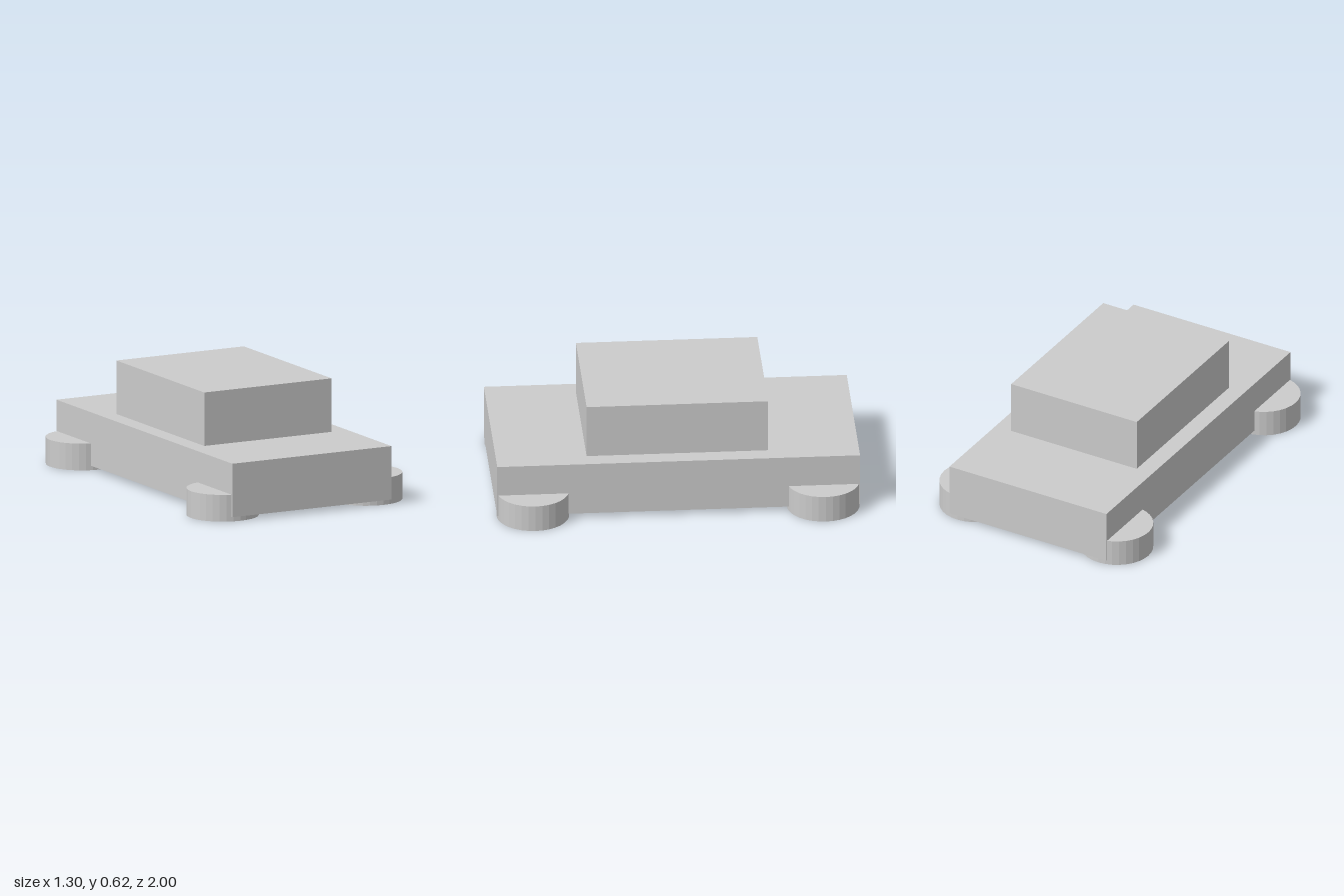
import * as THREE from 'three';

export function createModel() {
  const model = new THREE.Group();
  const material = new THREE.MeshStandardMaterial({ color: 0xcccccc, flatShading: true });

  const add = (name, geometry, x, y, z) => {
    const mesh = new THREE.Mesh(geometry, material);
    mesh.name = name;
    mesh.position.set(x, y, z);
    model.add(mesh);
  };

  // Long low body with a cabin block on top
  add('body', new THREE.BoxGeometry(1, 0.3, 2), 0, 0.175, 0);
  add('cabin', new THREE.BoxGeometry(0.8, 0.3, 1), 0, 0.475, 0);

  // Four flat-lying wheels, one at each corner
  const wheel = new THREE.CylinderGeometry(0.2, 0.2, 0.15, 32);
  for (const [end, z] of [['front', 0.8], ['rear', -0.8]]) {
    for (const [side, x] of [['Left', 0.45], ['Right', -0.45]]) {
      add(`${end}${side}Wheel`, wheel, x, 0.075, z);
    }
  }

  return model;
}
